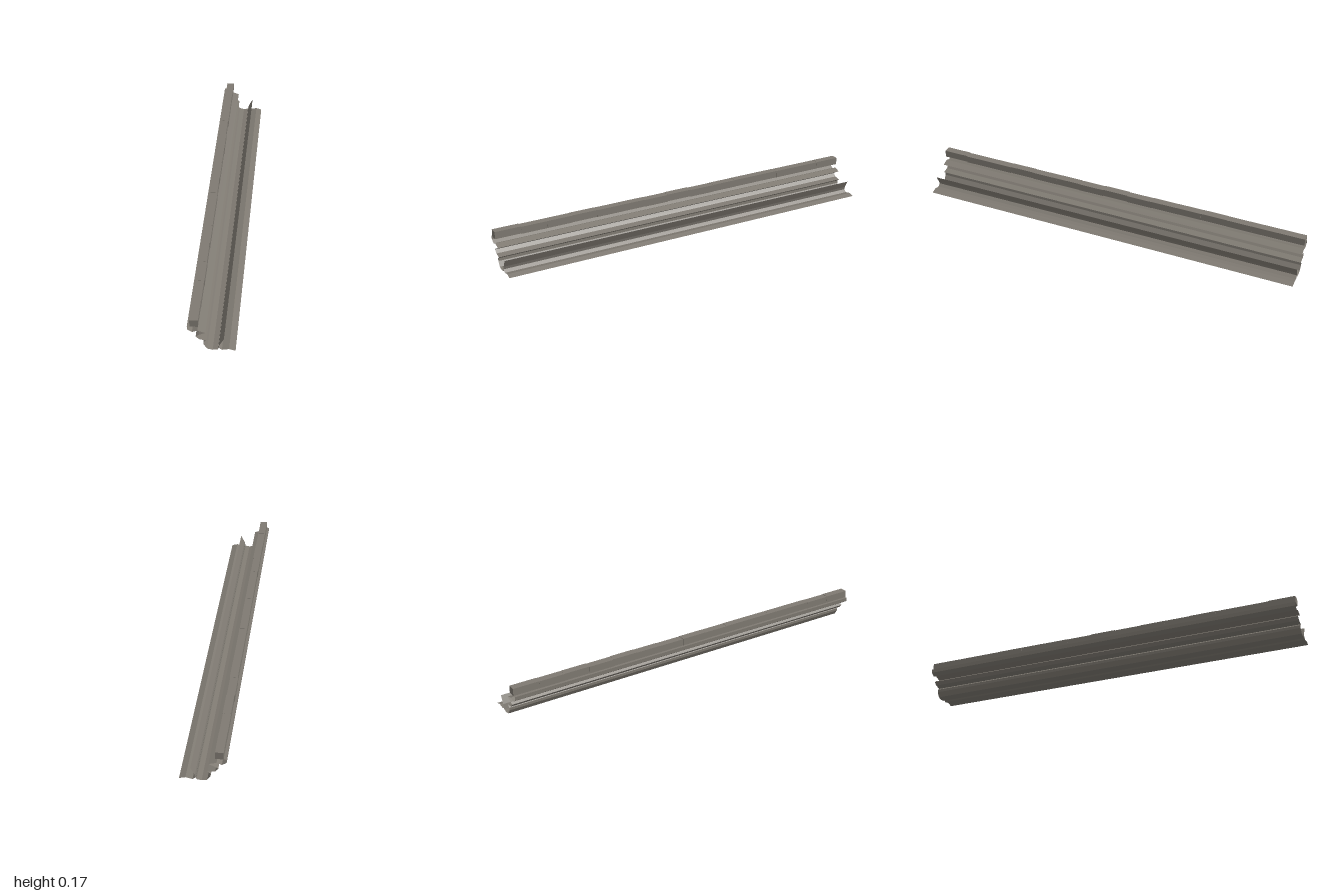
import * as THREE from 'three';

const LENGTH = 2;

// Open sheet swept along z from an x/y profile, with hard edges at every fold
function sheet(name, profile, material) {
  const pos = [];
  const h = LENGTH / 2;
  for (let i = 0; i < profile.length - 1; i++) {
    const [ax, ay] = profile[i], [bx, by] = profile[i + 1];
    pos.push(ax, ay, h, bx, by, h, bx, by, -h);
    pos.push(ax, ay, h, bx, by, -h, ax, ay, -h);
  }
  const g = new THREE.BufferGeometry();
  g.setAttribute('position', new THREE.Float32BufferAttribute(pos, 3));
  g.computeVertexNormals();
  const mesh = new THREE.Mesh(g, material);
  mesh.name = name;
  return mesh;
}

export function createModel() {
  const model = new THREE.Group();
  model.name = 'steppedChannel';
  const stone = new THREE.MeshStandardMaterial({ color: 0x7f7a72, side: THREE.DoubleSide });
  stone.name = 'greyStone';

  // Folded wall stepping down from the top ledge to the channel floor and up the far ridge
  model.add(sheet('steppedWall', [
    [-0.060, 0.135], [-0.108, 0.135], [-0.107, 0.116], [-0.086, 0.102],
    [-0.062, 0.112], [-0.027, 0.101], [-0.058, 0.086], [-0.070, 0.077],
    [-0.056, 0.061], [-0.022, 0.055], [-0.036, 0.044], [-0.035, 0.030],
    [-0.020, 0.006], [0.005, 0.000], [0.028, 0.004], [0.035, 0.030], [0.055, 0.069],
  ], stone));

  // Low lip running out from the foot of the ridge
  model.add(sheet('outerLip', [
    [0.030, 0.016], [0.046, 0.003], [0.078, 0.010], [0.107, 0.002],
  ], stone));

  // Row of slightly uneven blocks along the top ledge
  let seed = 7;
  const jitter = (a) => {
    seed = (seed * 16807) % 2147483647;
    return (seed / 2147483647 - 0.5) * 2 * a;
  };
  const count = 15;
  const step = LENGTH / count;
  const blocks = new THREE.Group();
  blocks.name = 'copingBlocks';
  for (let i = 0; i < count; i++) {
    const block = new THREE.Mesh(new THREE.BoxGeometry(0.038, 0.037, step), stone);
    block.name = 'copingBlock';
    block.position.set(-0.076 + jitter(0.0015), 0.1525 + jitter(0.0015), 1 - step * (i + 0.5));
    blocks.add(block);
  }
  model.add(blocks);
  return model;
}
